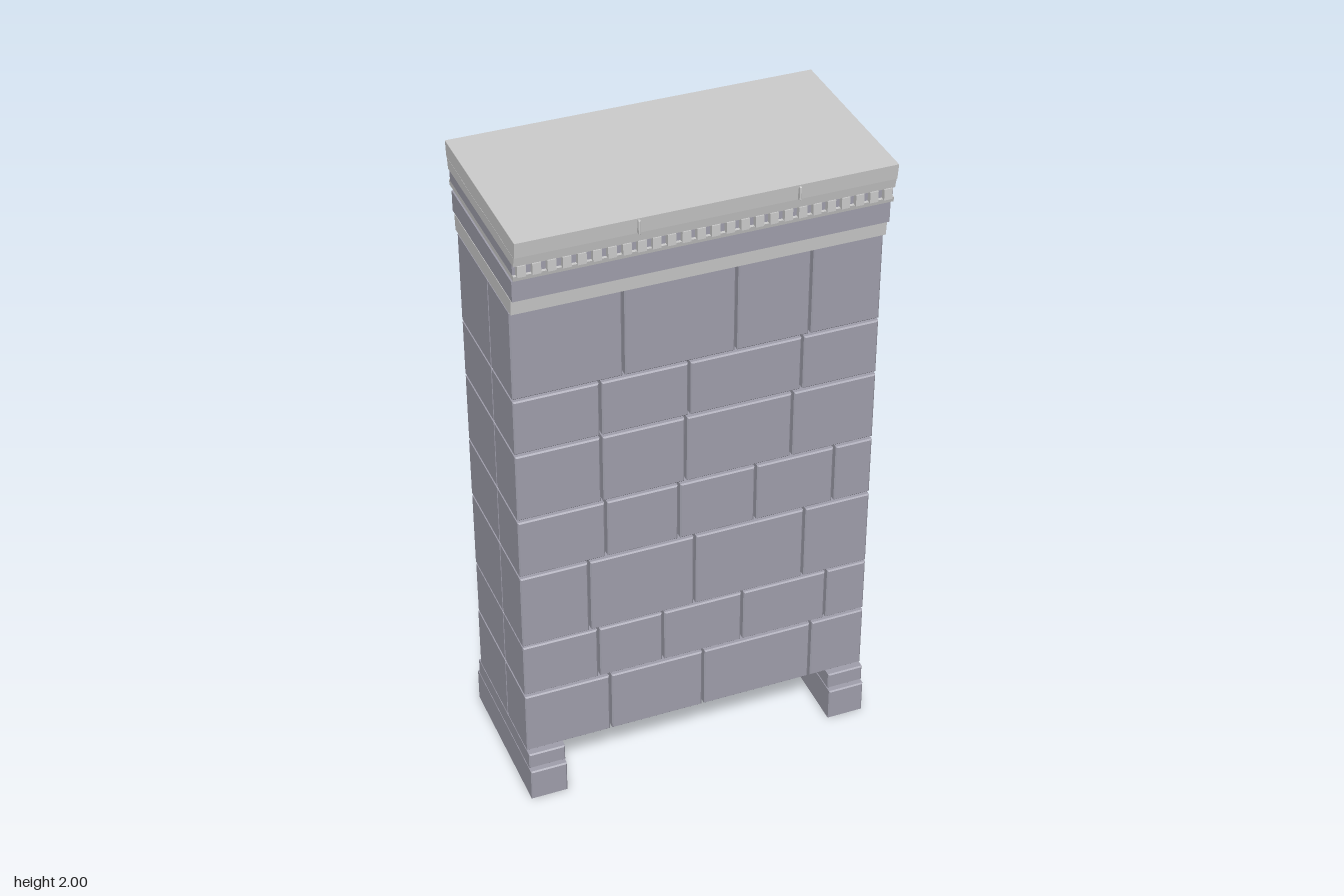
import * as THREE from 'three';

const stone = new THREE.MeshStandardMaterial({ color: 0x9f9eab, flatShading: true });
const trim = new THREE.MeshStandardMaterial({ color: 0xcccccc, flatShading: true });

const HALF = 0.55, ARCH_Y = 1.0, R_IN = 0.315, R_OUT = 0.44, BACK = 0.04;

let seed = 7;
function rand() {
  seed = (seed * 16807) % 2147483647;
  return seed / 2147483647;
}

// Prism: an outline in x/y, extruded from z0 to z1 with a small chamfer
function prism(parent, name, mat, pts, z0, z1, bevel = 0.004) {
  const shape = new THREE.Shape(pts.map(p => new THREE.Vector2(p[0], p[1])));
  const geo = new THREE.ExtrudeGeometry(shape, {
    depth: z1 - z0 - 2 * bevel, bevelEnabled: true, bevelThickness: bevel,
    bevelSize: bevel, bevelOffset: -bevel, bevelSegments: 1, curveSegments: 6,
  });
  geo.translate(0, 0, z0 + bevel);
  const mesh = new THREE.Mesh(geo, mat);
  mesh.name = name;
  parent.add(mesh);
  return mesh;
}

function block(parent, name, mat, x0, x1, y0, y1, z0, z1, bevel) {
  return prism(parent, name, mat, [[x0, y0], [x1, y0], [x1, y1], [x0, y1]], z0, z1, bevel);
}

// Wedge of a ring around the arch centre
function wedge(parent, name, mat, r0, r1, a0, a1, z0, z1) {
  const at = (r, a) => [r * Math.cos(a), ARCH_Y + r * Math.sin(a)];
  return prism(parent, name, mat, [at(r0, a0), at(r1, a0), at(r1, a1), at(r0, a1)], z0, z1);
}

function group(parent, name) {
  const g = new THREE.Group();
  g.name = name;
  parent.add(g);
  return g;
}

// Courses: bottom, top, vertical joints of the plain face
const courses = [
  [0.175, 0.385, [-0.28, 0.02, 0.375]],
  [0.395, 0.575, [-0.315, -0.11, 0.145, 0.42]],
  [0.582, 0.833, [-0.34, -0.01, 0.34]],
  [0.842, 1.036, [-0.285, -0.06, 0.18, 0.43]],
  [1.045, 1.266, [-0.295, -0.04, 0.29]],
  [1.275, 1.452, [-0.295, -0.03, 0.315]],
  [1.46, 1.742, [-0.225, 0.11, 0.335]],
];

function buildWalls(root) {
  const plain = group(root, 'plainWall');
  for (const [y0, y1, joints] of courses) {
    const xs = [-HALF, ...joints, HALF];
    for (let i = 0; i + 1 < xs.length; i++) {
      const a = xs[i] + (i ? 0.004 : 0);
      const b = xs[i + 1] - (i + 2 < xs.length ? 0.004 : 0);
      block(plain, 'wallBlock', stone, a, b, y0, y1, BACK, 0.22);
    }
  }

  // Piers and spandrels, cut to the outside of the arch
  const piers = group(root, 'pierBlocks');
  const inner = y => y < ARCH_Y ? R_OUT - 0.003
    : Math.sqrt(Math.max(0, R_OUT * R_OUT - (y - ARCH_Y) ** 2)) + 0.004;
  for (const [y0, y1] of courses.slice(0, 6)) {
    for (const s of [1, -1]) {
      const pts = [[s * HALF, y0], [s * HALF, y1]];
      const n = y1 > ARCH_Y ? 8 : 1;
      for (let i = 0; i <= n; i++) {
        const y = y1 + (y0 - y1) * i / n;
        pts.push([s * inner(y), y]);
      }
      prism(piers, 'pierBlock', stone, pts, -0.212 - 0.008 * rand(), BACK, 0.003);
    }
  }

  // Worn blocks above the arch with ragged joints
  const [y0, y1] = courses[6];
  const steps = 6;
  const edges = [-HALF, -0.41, -0.1, 0.22, HALF].map((x, k) =>
    Array.from({ length: steps + 1 }, (_, i) =>
      [x + (k % 4 ? (rand() - 0.5) * 0.016 : 0), y0 + (y1 - y0) * i / steps]));
  for (let k = 0; k < 4; k++) {
    const left = edges[k].map(([x, y]) => [x + (k ? 0.004 : 0), y]);
    const right = edges[k + 1].map(([x, y]) => [x - (k < 3 ? 0.004 : 0), y]);
    prism(piers, 'upperBlock', stone, [...right, ...left.reverse()],
      -0.216 - 0.008 * rand(), BACK, 0.003);
  }
}

function buildBase(root) {
  const base = group(root, 'base');
  for (const s of [1, -1]) {
    const span = (a, b) => s > 0 ? [a, b] : [-b, -a];
    block(base, 'lowerPlinth', stone, ...span(0.435, HALF), 0, 0.11, -0.26, 0.248);
    block(base, 'upperPlinth', stone, ...span(0.435, HALF), 0.115, 0.17, -0.242, 0.236);
    block(base, 'jambPlinth', trim, ...span(0.31, 0.435), 0, 0.11, -0.26, -0.14);
  }
  // Floor slab and stepped altar
  block(base, 'floorSlab', trim, -0.435, 0.435, 0, 0.035, -0.245, 0.0);
  block(base, 'lowerStep', trim, -0.29, 0.29, 0.035, 0.11, -0.2, 0.02, 0.005);
  block(base, 'upperStep', trim, -0.24, 0.24, 0.11, 0.17, -0.14, 0.02, 0.005);
}

function buildArch(root) {
  const jambs = group(root, 'jambs');
  const levels = [0.035, 0.24, 0.46, 0.69, 0.92];
  for (const s of [1, -1]) {
    const span = (a, b) => s > 0 ? [a, b] : [-b, -a];
    for (let i = 0; i + 1 < levels.length; i++) {
      const out = i % 2 ? 0.008 : 0;
      block(jambs, 'jambBlock', trim, ...span(0.325 - out, 0.435 + out),
        levels[i] + 0.003, levels[i + 1] - 0.003, -0.228 - out, BACK);
    }
    // Stepped capital
    block(jambs, 'capitalLower', trim, ...span(0.315, 0.445), 0.92, 0.955, -0.24, BACK);
    block(jambs, 'capitalUpper', trim, ...span(0.3, 0.46), 0.955, 1.0, -0.253, BACK);
  }

  // Voussoirs, keystone and hood mould
  const arch = group(root, 'arch');
  const key = 0.12, n = 5, step = (Math.PI / 2 - key) / n;
  for (const s of [1, -1]) {
    const ang = a => s > 0 ? a : Math.PI - a;
    for (let i = 0; i < n; i++) {
      const a = [ang(i * step + 0.01), ang((i + 1) * step - 0.01)].sort((p, q) => p - q);
      wedge(arch, 'voussoir', trim, R_IN, R_OUT - 0.005, ...a, -0.228 - (i % 2) * 0.006, BACK);
    }
    for (let i = 0; i < 4; i++) {
      const w = (Math.PI / 2 - key) / 4;
      const a = [ang(i * w + 0.03), ang((i + 1) * w - 0.03)].sort((p, q) => p - q);
      wedge(arch, 'hoodStone', trim, 0.425, 0.458, ...a, -0.25, -0.2);
    }
  }
  prism(arch, 'keystone', trim,
    [[-0.035, 1.275], [0.035, 1.275], [0.06, 1.465], [-0.06, 1.465]], -0.256, BACK);
}

function buildCornice(root) {
  const cornice = group(root, 'cornice');
  // bottom, top, half depth below and above
  const bands = [
    [1.746, 1.795, 0.234, 0.238, trim],
    [1.798, 1.862, 0.252, 0.252, stone],
    [1.872, 1.888, 0.268, 0.272, trim],
    [1.888, 1.92, 0.262, 0.262, stone],
    [1.92, 1.951, 0.274, 0.28, trim],
    [1.952, 2.0, 0.284, 0.29, trim],
  ];
  for (const [y0, y1, d0, d1, mat] of bands) {
    const geo = new THREE.BoxGeometry(2 * HALF, y1 - y0, 1);
    const p = geo.attributes.position;
    for (let i = 0; i < p.count; i++) {
      p.setZ(i, 2 * p.getZ(i) * (p.getY(i) > 0 ? d1 : d0));
    }
    geo.computeVertexNormals();
    const mesh = new THREE.Mesh(geo, mat);
    mesh.name = 'corniceBand';
    mesh.position.y = (y0 + y1) / 2;
    cornice.add(mesh);
  }
  // Dentils along both long faces
  const count = 26, pitch = 2 * HALF / count;
  for (const z of [0.268, -0.268]) {
    for (let i = 0; i < count; i++) {
      const m = new THREE.Mesh(new THREE.BoxGeometry(pitch * 0.58, 0.034, 0.02), trim);
      m.name = 'dentil';
      m.position.set(-HALF + (i + 0.5) * pitch, 1.904, z);
      cornice.add(m);
    }
  }
  // Joint slivers in the top slab
  for (const x of [-0.205, 0.257]) {
    block(cornice, 'slabJoint', trim, x - 0.003, x + 0.003, 1.955, 1.996, -0.298, 0.298, 0.001);
  }
}

function buildDetails(root) {
  const details = group(root, 'details');
  const candle = (x, y, z, h) => {
    const m = new THREE.Mesh(new THREE.CylinderGeometry(0.011, 0.012, h, 8), trim);
    m.name = 'candle';
    m.position.set(x, y + h / 2, z);
    details.add(m);
  };
  for (const s of [1, -1]) {
    const span = (a, b) => s > 0 ? [a, b] : [-b, -a];
    // Candle shelves on the inner faces of the jambs
    for (const y of [0.35, 0.54]) {
      block(details, 'shelf', trim, ...span(0.255, 0.33), y, y + 0.025, -0.165, -0.085);
      block(details, 'shelfBracket', trim, ...span(0.28, 0.33), y - 0.04, y, -0.15, -0.1);
      candle(s * 0.285, y + 0.025, -0.125, 0.05);
    }
    candle(s * 0.308, 0.035, -0.16, 0.05);
    // Diamond bosses beside the arch
    for (const [r, z] of [[0.05, -0.235], [0.028, -0.25]]) {
      prism(details, 'diamondBoss', trim, [[s * 0.475 - r, 1.22], [s * 0.475, 1.22 - r],
        [s * 0.475 + r, 1.22], [s * 0.475, 1.22 + r]], z, -0.19);
    }
  }
  candle(0.26, 0.11, -0.1, 0.06);
  // Loose chips on the piers
  for (const [x, y] of [[-0.5, 0.84], [0.52, 0.965]]) {
    block(details, 'chip', stone, x - 0.025, x + 0.025, y - 0.014, y + 0.014, -0.255, -0.2);
  }
}

export function createModel() {
  seed = 7;
  const root = new THREE.Group();
  root.name = 'archedStoneShrine';
  buildBase(root);
  buildWalls(root);
  buildArch(root);
  buildCornice(root);
  buildDetails(root);
  return root;
}
